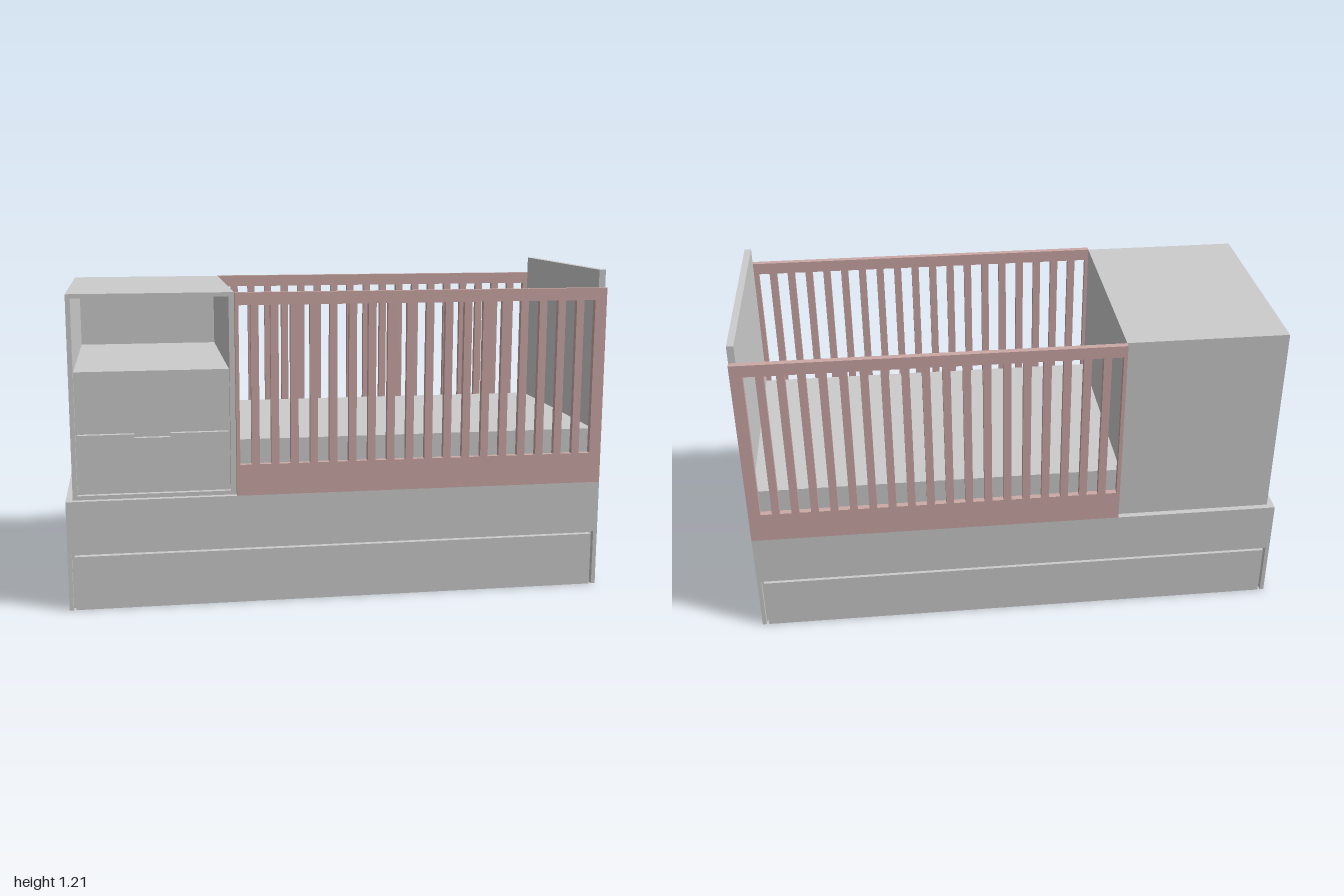
import * as THREE from 'three';

const grey = new THREE.MeshStandardMaterial({ color: 0xcccccc, flatShading: true });
const rose = new THREE.MeshStandardMaterial({ color: 0xcca9a6, flatShading: true });

// Box given by its min and max corners
function box(parent, name, [x0, x1], [y0, y1], [z0, z1], mat = grey) {
  const m = new THREE.Mesh(new THREE.BoxGeometry(x1 - x0, y1 - y0, z1 - z0), mat);
  m.position.set((x0 + x1) / 2, (y0 + y1) / 2, (z0 + z1) / 2);
  m.name = name;
  parent.add(m);
  return m;
}

function rectangle(x0, x1, y0, y1, Type = THREE.Shape) {
  const s = new Type();
  s.moveTo(x0, y0).lineTo(x1, y0).lineTo(x1, y1).lineTo(x0, y1).closePath();
  return s;
}

function board(parent, name, shape, z, depth, mat = grey) {
  const m = new THREE.Mesh(new THREE.ExtrudeGeometry(shape, { depth, bevelEnabled: false }), mat);
  m.position.z = z;
  m.name = name;
  parent.add(m);
  return m;
}

const OUT = 0.4375;  // outer half depth
const IN = 0.415;    // half depth inside the rails
const BASE = 0.405;  // top of the base
const TOP = 1.145;   // top of rails and cabinet
const SPLIT = -0.385; // between cabinet and cot

function makeBase() {
  const g = new THREE.Group();
  g.name = 'base';
  box(g, 'baseBody', [-1, 1], [0, BASE], [-IN, IN]);
  for (const side of [1, -1]) {
    const z = side > 0 ? IN : -OUT, depth = OUT - IN;
    // fascia with stiles around the drawer opening
    const s = new THREE.Shape();
    s.moveTo(-1, 0).lineTo(-0.985, 0).lineTo(-0.985, 0.21).lineTo(0.985, 0.21);
    s.lineTo(0.985, 0).lineTo(1, 0).lineTo(1, BASE).lineTo(-1, BASE).closePath();
    board(g, 'baseFascia', s, z, depth);
    box(g, 'baseDrawerFront', [-0.975, 0.975], [0, 0.2], [z, z + depth]);
  }
  return g;
}

function makeCabinet() {
  const g = new THREE.Group();
  g.name = 'cabinet';
  const L = -0.975, R = SPLIT, l = -0.958, r = -0.405;
  box(g, 'cabinetLeftSide', [L, l], [BASE, TOP], [-IN, IN]);
  box(g, 'cabinetRightSide', [r, R], [BASE, TOP], [-IN, IN]);
  box(g, 'cabinetTop', [l, r], [1.13, TOP], [-IN, IN]);
  box(g, 'cabinetBottom', [l, r], [BASE, 0.42], [-IN, IN]);
  box(g, 'cabinetBack', [l, r], [0.42, 1.13], [-IN, -IN + 0.02]);
  box(g, 'drawerBodyAndShelf', [l, r], [0.42, 0.866], [-IN + 0.02, IN - 0.02]);

  // two drawer fronts, notched where they meet to form the grip
  const a = l + 0.006, b = r - 0.006, h0 = -0.75, h1 = -0.62;
  const lower = new THREE.Shape();
  lower.moveTo(a, 0.427).lineTo(b, 0.427).lineTo(b, 0.641).lineTo(h1, 0.641);
  lower.lineTo(h1, 0.627).lineTo(h0, 0.627).lineTo(h0, 0.641).lineTo(a, 0.641).closePath();
  const upper = new THREE.Shape();
  upper.moveTo(a, 0.649).lineTo(h0, 0.649).lineTo(h0, 0.673).lineTo(h1, 0.673);
  upper.lineTo(h1, 0.649).lineTo(b, 0.649).lineTo(b, 0.87).lineTo(a, 0.87).closePath();
  board(g, 'lowerDrawerFront', lower, IN - 0.02, 0.02);
  board(g, 'upperDrawerFront', upper, IN - 0.02, 0.02);
  return g;
}

// Slatted side cut from a single board
function makeRail(z) {
  const s = rectangle(SPLIT, 1, BASE, TOP);
  for (let i = 0; i < 19; i++) {
    const x = -0.372 + i * 0.0714;
    s.holes.push(rectangle(x, x + 0.0425, 0.52, 1.1, THREE.Path));
  }
  const g = new THREE.Group();
  g.name = z > 0 ? 'frontRail' : 'backRail';
  board(g, 'slattedSide', s, z, OUT - IN, rose);
  return g;
}

export function createModel() {
  const model = new THREE.Group();
  model.name = 'cotWithCabinet';
  model.add(makeBase(), makeCabinet(), makeRail(IN), makeRail(-OUT));
  box(model, 'endPanel', [0.975, 1], [BASE, 1.21], [-IN, IN]);
  box(model, 'mattress', [SPLIT, 0.975], [BASE, 0.61], [-IN, IN]);
  return model;
}
